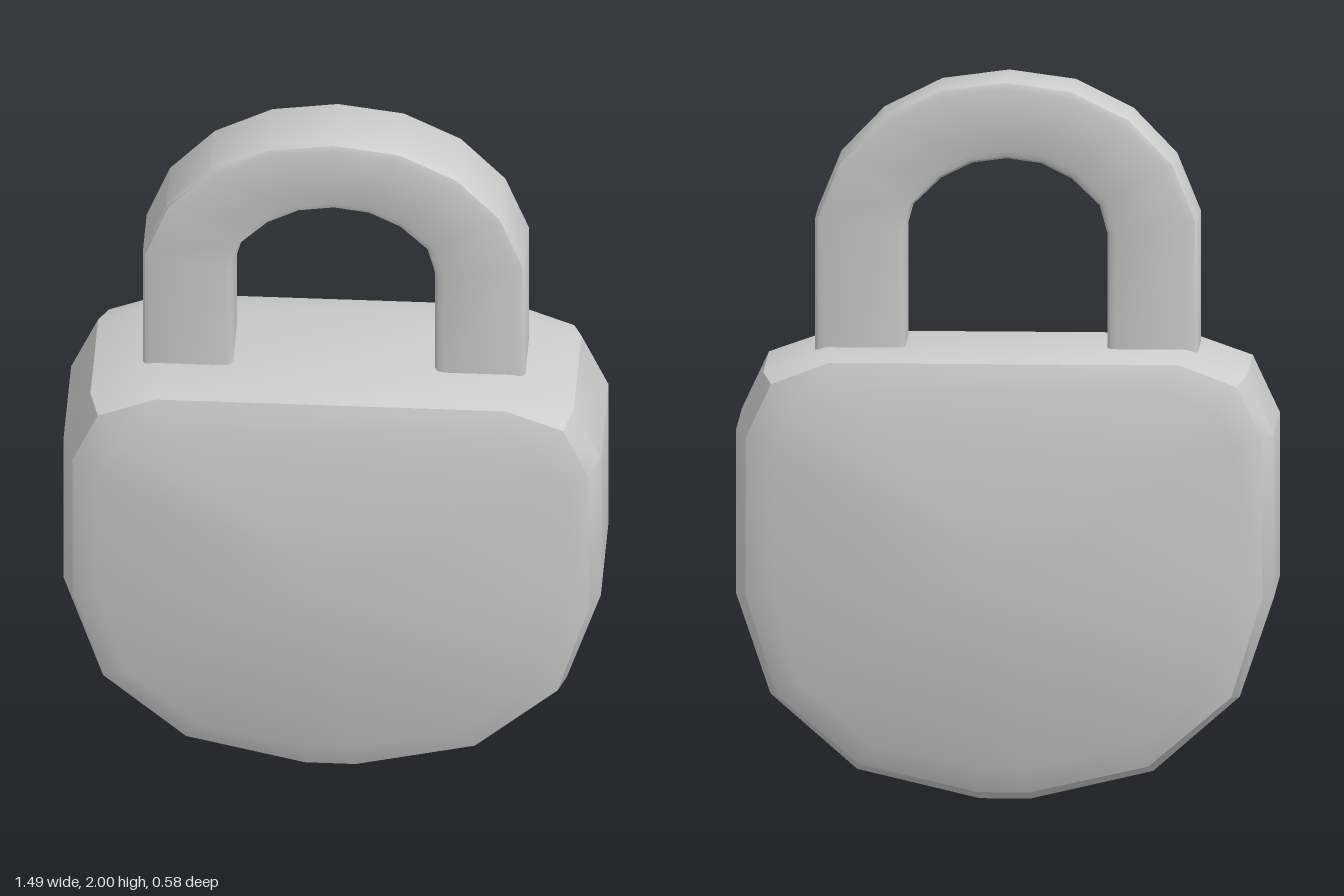
import * as THREE from 'three';
import { toCreasedNormals } from 'three/addons/utils/BufferGeometryUtils.js';

const material = new THREE.MeshStandardMaterial({ color: 0xcccccc });

// Skin a list of closed rings (counter-clockwise about the direction of travel) and cap both ends
function loft(rings) {
  const n = rings[0].length, last = rings.length - 1;
  const points = rings.flat(), index = [];
  for (let i = 0; i < last; i++) {
    for (let j = 0; j < n; j++) {
      const a = i * n + j, b = i * n + (j + 1) % n;
      index.push(a, b, b + n, a, b + n, a + n);
    }
  }
  for (const r of [0, last]) {
    const centre = new THREE.Vector3();
    rings[r].forEach((p) => centre.addScaledVector(p, 1 / n));
    const c = points.push(centre) - 1;
    for (let j = 0; j < n; j++) {
      const a = r * n + j, b = r * n + (j + 1) % n;
      if (r) index.push(c, a, b);
      else index.push(c, b, a);
    }
  }
  const geometry = new THREE.BufferGeometry().setFromPoints(points);
  geometry.setIndex(index);
  return toCreasedNormals(geometry, THREE.MathUtils.degToRad(31));
}

// Mirror a half outline (x > 0) to the other side, in reverse order
const mirrorX = (half) => half.concat(half.filter((p) => p[0] > 0).reverse().map(([x, ...rest]) => [-x, ...rest]));

function createBody() {
  // Half outlines from bottom to top: rim, bevel and flat face
  const rim = [[0.07, 0], [0.41, 0.08], [0.65, 0.29], [0.745, 0.57], [0.745, 1.03], [0.67, 1.19], [0.5, 1.25]];
  const bevel = [[0.07, 0.03], [0.4, 0.105], [0.63, 0.3], [0.715, 0.575], [0.715, 1.02], [0.645, 1.17], [0.485, 1.23]];
  const face = [[0.06, 0.1], [0.365, 0.165], [0.57, 0.34], [0.64, 0.59], [0.64, 1.0], [0.585, 1.105], [0.46, 1.155]];
  const layers = [[face, -0.29], [bevel, -0.26], [rim, -0.18], [rim, 0.18], [bevel, 0.26], [face, 0.29]];
  return loft(layers.map(([half, z]) => mirrorX(half).map(([x, y]) => new THREE.Vector3(x, y, z))));
}

function createShackle() {
  // Stations from the left foot to the crown: outer x, y and inner x, y
  const stations = mirrorX([
    [0.53, 1.22, 0.28, 1.22], [0.53, 1.61, 0.28, 1.57], [0.465, 1.77, 0.258, 1.65],
    [0.345, 1.895, 0.18, 1.725], [0.185, 1.975, 0.095, 1.767], [0, 2, 0, 1.78],
  ]).map(([ox, oy, ix, iy]) => [ox, oy, ox < 0 ? -ix : ix, iy]);

  // Bevelled corner: inset from the side, half depth
  const corner = [[0, 0.088], [0.007, 0.103], [0.025, 0.11]];
  const rings = stations.map(([ox, oy, ix, iy]) => {
    const inner = new THREE.Vector3(ix, iy, 0), outer = new THREE.Vector3(ox, oy, 0);
    const across = outer.clone().sub(inner).normalize();
    const at = (from, inset, z) => from.clone().addScaledVector(across, inset).setZ(z);
    const back = [...corner].reverse();
    return [
      ...corner.map(([d, z]) => at(inner, d, z)),
      ...back.map(([d, z]) => at(outer, -d, z)),
      ...corner.map(([d, z]) => at(outer, -d, -z)),
      ...back.map(([d, z]) => at(inner, d, -z)),
    ];
  });
  return loft(rings);
}

export function createModel() {
  const group = new THREE.Group();
  group.name = 'padlock';
  for (const [name, geometry] of [['lockBody', createBody()], ['shackle', createShackle()]]) {
    const mesh = new THREE.Mesh(geometry, material);
    mesh.name = name;
    group.add(mesh);
  }
  return group;
}
